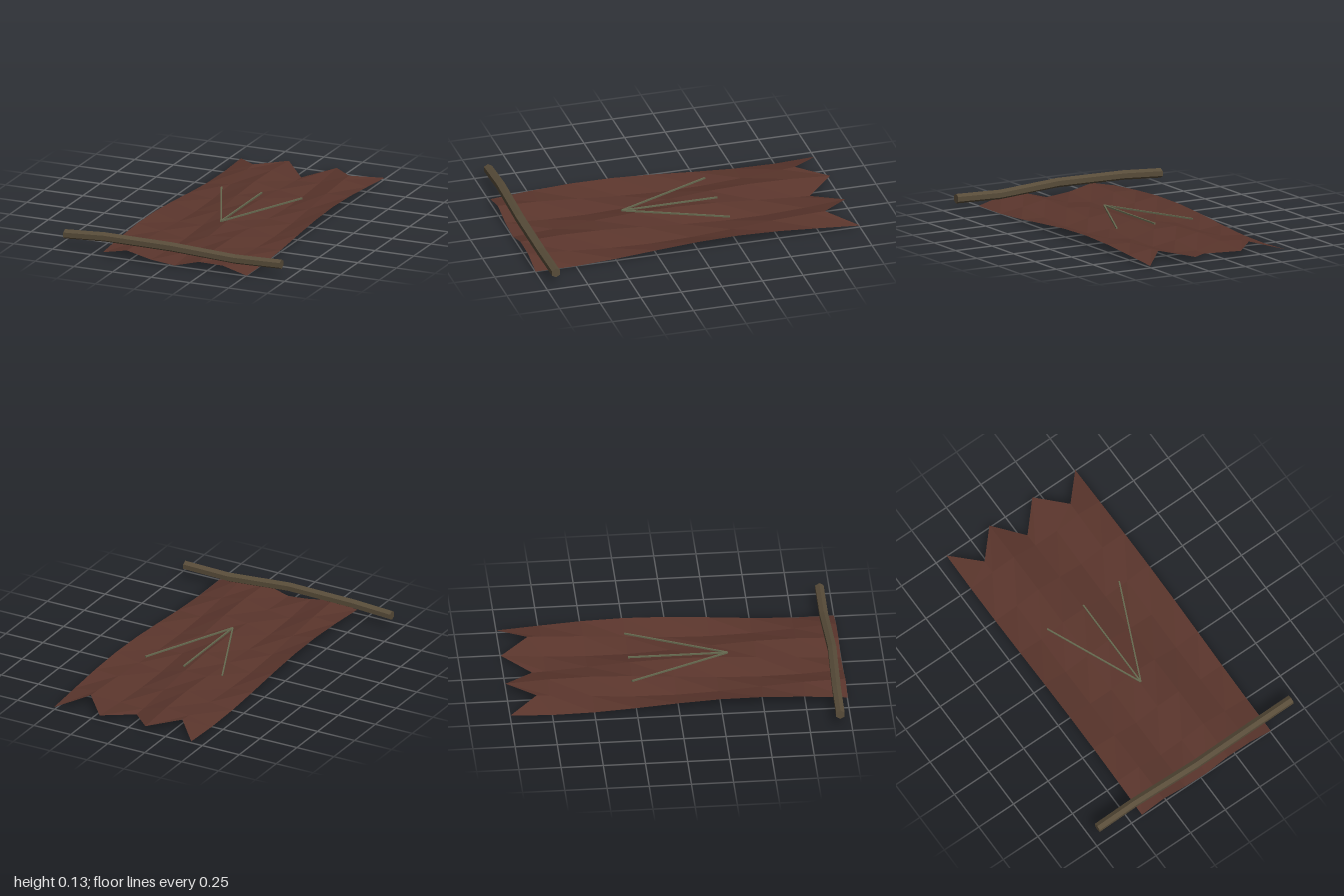
import * as THREE from 'three';

const clothMat = new THREE.MeshStandardMaterial({ color: 0x5a352c, flatShading: true, side: THREE.DoubleSide });
clothMat.name = 'dull red cloth';
const woodMat = new THREE.MeshStandardMaterial({ color: 0x584c39, flatShading: true });
woodMat.name = 'weathered wood';
const markMat = new THREE.MeshStandardMaterial({ color: 0x66694f, flatShading: true });
markMat.name = 'faded green';

// Rippled sheet with a torn zigzag edge at the back
function makeCloth() {
  const cols = 6, rows = 8;
  const geo = new THREE.PlaneGeometry(0.93, 2, cols, rows).rotateX(-Math.PI / 2);
  const pos = geo.attributes.position;
  for (let i = 0; i < pos.count; i++) {
    const col = i % (cols + 1), row = Math.floor(i / (cols + 1));
    const z = row === 0 && col % 2 ? -0.83 : pos.getZ(i);
    const ripple = Math.cos(2 * Math.PI * ((z - 0.4) / 2.2 - col * 0.285));
    pos.setXYZ(i, pos.getX(i) + 0.04, 0.031 + 0.028 * ripple, z);
  }
  geo.computeVertexNormals();
  const mesh = new THREE.Mesh(geo, clothMat);
  mesh.name = 'cloth';
  return mesh;
}

// Crooked six-sided pole: a straight bar whose rings are shifted to a bent path
function makePole() {
  const path = [[-0.7, 0.085, 0.932], [-0.44, 0.1, 0.932], [0, 0.1, 0.945], [0.4, 0.075, 0.932], [0.7, 0.082, 0.932]];
  const geo = new THREE.CylinderGeometry(0.029, 0.029, 4, 6, 4, false, Math.PI / 6).rotateZ(Math.PI / 2);
  const pos = geo.attributes.position;
  for (let i = 0; i < pos.count; i++) {
    const [x, y, z] = path[Math.round(pos.getX(i) + 2)];
    pos.setXYZ(i, x, y + pos.getY(i), z + pos.getZ(i));
  }
  geo.computeVertexNormals();
  const mesh = new THREE.Mesh(geo, woodMat);
  mesh.name = 'pole';
  return mesh;
}

// Three thin strokes fanning out from one point
function makeMark() {
  const mark = new THREE.Group();
  mark.name = 'fanMark';
  const start = new THREE.Vector3(0.04, 0.082, 0.33);
  for (const dx of [-0.26, 0, 0.26]) {
    const end = new THREE.Vector3(0.04 + dx, 0.082, -0.26);
    const stroke = new THREE.Mesh(new THREE.BoxGeometry(0.009, 0.009, start.distanceTo(end)), markMat);
    stroke.name = 'stroke';
    stroke.position.lerpVectors(start, end, 0.5);
    stroke.lookAt(end);
    mark.add(stroke);
  }
  return mark;
}

export function createModel() {
  const model = new THREE.Group();
  model.name = 'tornBanner';
  model.add(makeCloth(), makePole(), makeMark());
  return model;
}
